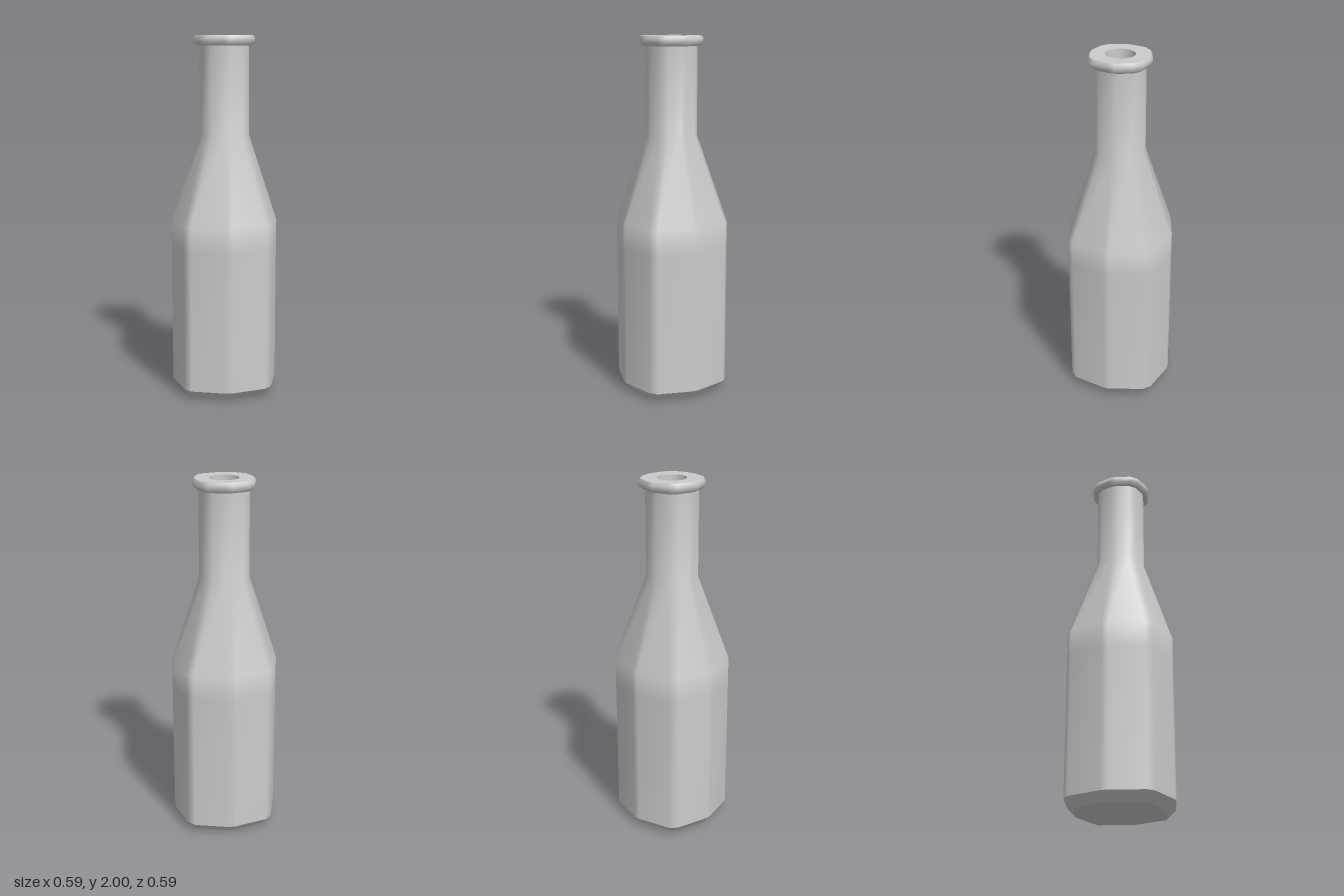
import * as THREE from 'three';

// Octagon with bevelled corners: c = reach on the axes, d = x and z of the diagonal corners,
// b = half width of the bevel (0 gives plain corners)
function section(y, c, d, b) {
  const m = d > 0 ? (c - d) / d : 0;
  const k = d - 1.6 * b;
  const quarter = [[b, c - m * b], [k, c - m * k], [c - m * k, k], [c - m * b, b]];
  const ring = [];
  for (let q = 0; q < 4; q++) {
    for (const [x, z] of quarter) {
      // quarter turns about y, front towards the left side
      const p = [[x, z], [z, -x], [-x, -z], [-z, x]][q];
      ring.push([p[0], y, p[1]]);
    }
  }
  return ring;
}

// Smooth skin through a stack of sections
function loft(name, material, profile) {
  const rings = profile.map((p) => section(...p));
  const n = rings[0].length;
  const index = [];
  for (let i = 0; i < rings.length - 1; i++) {
    for (let j = 0; j < n; j++) {
      const a = i * n + j;
      const b = i * n + ((j + 1) % n);
      index.push(a, b, b + n, a, b + n, a + n);
    }
  }
  const geometry = new THREE.BufferGeometry();
  geometry.setAttribute('position', new THREE.Float32BufferAttribute(rings.flat(2), 3));
  geometry.setIndex(index);
  geometry.computeVertexNormals();
  const mesh = new THREE.Mesh(geometry, material);
  mesh.name = name;
  return mesh;
}

export function createModel() {
  const bottle = new THREE.Group();
  bottle.name = 'bottle';
  const grey = new THREE.MeshStandardMaterial({ color: 0xcccccc });
  const B = 0.017;
  const foot = [0, 0.25, 0.195, 0];
  const base = [0.05, 0.3, 0.2355, B];
  const neckTop = [1.95, 0.141, 0.11, B];
  const lipEdge = [2, 0.164, 0.127, B];
  const mouth = [2, 0.084, 0.0625, 0.013];
  const well = [1.5, 0.084, 0.0625, 0.013];

  bottle.add(
    // closed underside and its chamfer
    loft('underside', grey, [[0, 0, 0, 0], foot]),
    loft('baseChamfer', grey, [foot, base]),
    // body, shoulder and neck in one smooth skin
    loft('body', grey, [base, [0.84, 0.3, 0.2355, B], [0.975, 0.3, 0.2355, B],
      [1.46, 0.141, 0.11, B], neckTop]),
    // rolled lip
    loft('lipUnderside', grey, [neckTop, [1.945, 0.156, 0.121, B]]),
    loft('lip', grey, [[1.945, 0.156, 0.121, B], [1.962, 0.173, 0.134, B],
      [1.985, 0.173, 0.134, B], lipEdge]),
    loft('lipTop', grey, [lipEdge, mouth]),
    // hollow of the mouth
    loft('mouthWall', grey, [mouth, well]),
    loft('mouthFloor', grey, [well, [1.5, 0, 0, 0]]),
  );
  return bottle;
}
